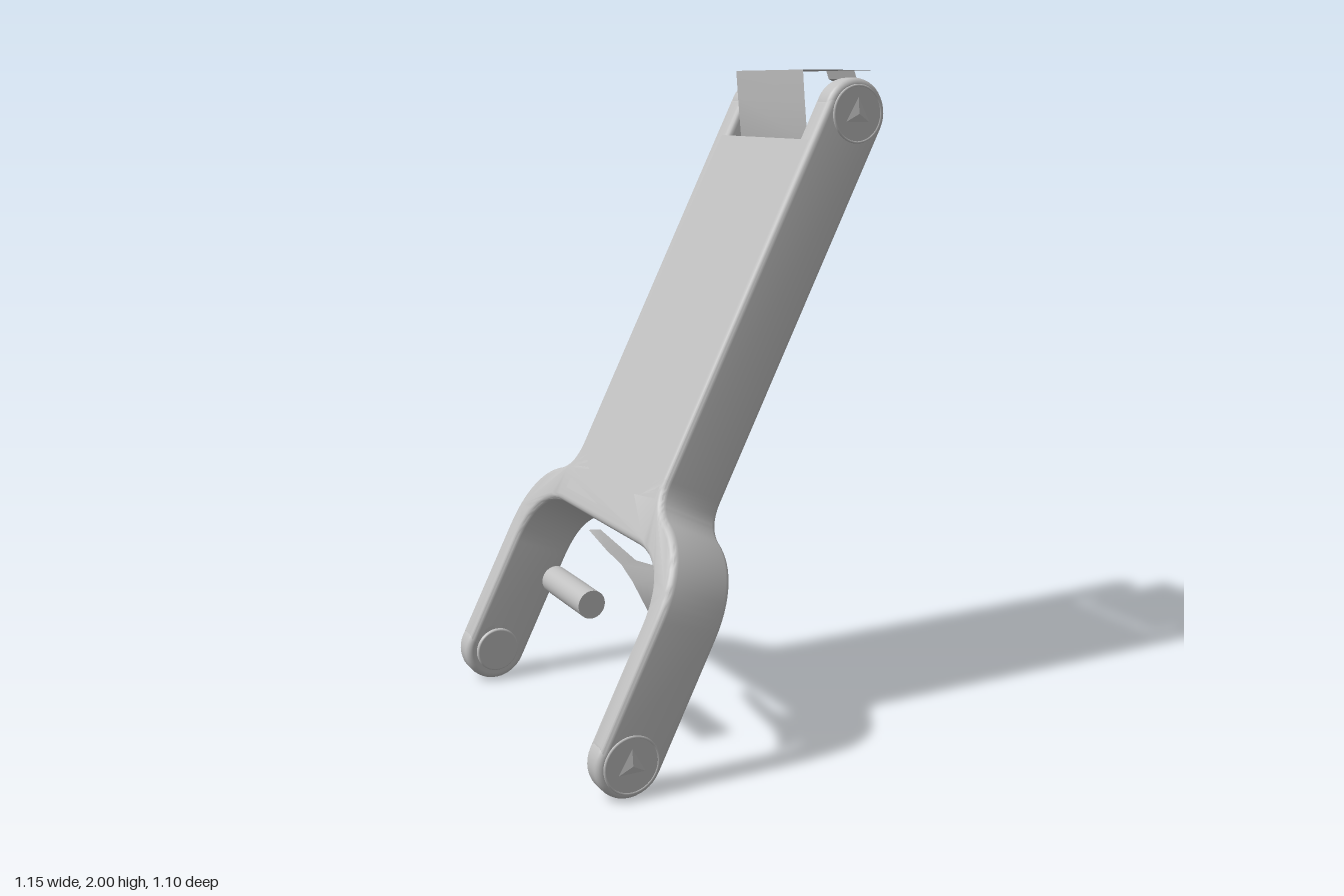
import * as THREE from 'three';
import { toCreasedNormals } from 'three/addons/utils/BufferGeometryUtils.js';

const LENGTH = 1.975; // pivot to pivot
const R = 0.105;      // half width of the arm

const metal = new THREE.MeshStandardMaterial({ color: 0xc0c0c0 });
metal.name = 'grey metal';
const sheetMetal = new THREE.MeshStandardMaterial({ color: 0xc0c0c0, side: THREE.DoubleSide });
sheetMetal.name = 'grey sheet';

function add(parent, name, geometry, material = metal) {
  const mesh = new THREE.Mesh(geometry, material);
  mesh.name = name;
  parent.add(mesh);
  return mesh;
}

// Ribbon through pairs of edge points [[x,y,z],[x,y,z]]
function ribbon(rows) {
  const g = new THREE.BufferGeometry();
  g.setAttribute('position', new THREE.Float32BufferAttribute(rows.flat(2), 3));
  const index = [];
  for (let i = 0; i < rows.length - 1; i++) {
    const a = i * 2;
    index.push(a, a + 1, a + 2, a + 1, a + 3, a + 2);
  }
  g.setIndex(index);
  return toCreasedNormals(g, 0.6);
}

// Strip of constant z range following an x,y profile
const strip = (profile, z0, z1) => ribbon(profile.map(([x, y]) => [[x, y, z0], [x, y, z1]]));

// Disc along z with rounded rims
function roundedDisc(radius, thickness, bevel) {
  const h = thickness / 2, pts = [new THREE.Vector2(0, -h)];
  for (const top of [0, 1]) {
    for (let i = 0; i <= 4; i++) {
      const a = (top ? i : i - 4) * Math.PI / 8;
      pts.push(new THREE.Vector2(radius - bevel + bevel * Math.cos(a),
        (top ? h - bevel : bevel - h) + bevel * Math.sin(a)));
    }
  }
  pts.push(new THREE.Vector2(0, h));
  return new THREE.LatheGeometry(pts, 40).rotateX(Math.PI / 2);
}

// Forked outline: half drawn, then mirrored, and extruded across the arm
function frameGeometry() {
  const p = new THREE.Path();
  p.moveTo(0, 0.555);
  p.lineTo(0.27, 0.555);
  p.bezierCurveTo(0.39, 0.55, 0.46, 0.48, 0.46, 0.36);
  p.lineTo(0.46, 0);
  p.lineTo(0.54, 0);
  p.lineTo(0.54, 0.4);
  p.bezierCurveTo(0.54, 0.54, 0.46, 0.62, 0.37, 0.65);
  p.bezierCurveTo(0.32, 0.667, 0.288, 0.70, 0.288, 0.76);
  p.lineTo(0.288, LENGTH);
  p.lineTo(0.208, LENGTH);
  p.lineTo(0.208, 0.77);
  p.quadraticCurveTo(0.205, 0.703, 0.14, 0.70);
  p.lineTo(0, 0.70);
  const half = p.getPoints(14).filter(v => v.x > 0.001);
  const mirrored = half.map(v => new THREE.Vector2(-v.x, v.y)).reverse();
  const bevel = 0.02;
  const g = new THREE.ExtrudeGeometry(new THREE.Shape([...half, ...mirrored]), {
    depth: 2 * (R - bevel), bevelEnabled: true, bevelThickness: bevel,
    bevelSize: bevel, bevelOffset: -bevel, bevelSegments: 4,
  });
  g.translate(0, 0, bevel - R).rotateY(Math.PI / 2);
  return toCreasedNormals(g, 0.6);
}

// Rounded lug with its bearing caps; side is +1 or -1 along z
function pivot(parent, name, s, inner, outer, side) {
  const g = new THREE.Group();
  g.name = name;
  g.position.set(0, s, 0);
  parent.add(g);
  const mid = side * (inner + outer) / 2;
  add(g, 'lug', roundedDisc(R, outer - inner, 0.02)).position.z = mid;
  add(g, 'outerCap', roundedDisc(0.086, 0.01, 0.003)).position.z = side * outer;
  add(g, 'capRim', new THREE.TorusGeometry(0.083, 0.004, 6, 40)).position.z = side * (outer + 0.003);
  add(g, 'innerBoss', roundedDisc(0.072, 0.022, 0.006)).position.z = side * inner;
  if (side > 0) {
    // Faceted screw recess on the front, ring on the inner face
    const facet = add(g, 'capFacet', toCreasedNormals(
      new THREE.ConeGeometry(0.055, 0.008, 3).rotateX(Math.PI / 2), 0.05));
    facet.position.z = outer + 0.008;
    facet.rotation.z = Math.PI + 0.45;
    add(g, 'innerRing', new THREE.TorusGeometry(0.05, 0.006, 6, 32)).position.z = inner - 0.011;
  } else {
    // Two small spanner studs
    for (const x of [-0.05, 0.05]) {
      add(g, 'spannerStud', new THREE.TorusGeometry(0.01, 0.003, 6, 16))
        .position.set(x, 0, -outer - 0.005);
    }
  }
}

export function createModel() {
  const model = new THREE.Group();
  model.name = 'forkedLinkArm';

  // Arm leaning towards +x, with local y running between the pivots
  const arm = new THREE.Group();
  arm.name = 'arm';
  arm.position.set(-0.48, 0.108, 0);
  arm.rotation.z = -Math.atan2(0.89, 1.765);
  model.add(arm);

  add(arm, 'forkFrame', frameGeometry());
  add(arm, 'backPlate', new THREE.BoxGeometry(0.024, 1.24, 0.53))
    .position.set(-R + 0.012, 1.22, 0);
  for (const side of [1, -1]) {
    pivot(arm, 'lowerPivot', 0, 0.46, 0.54, side);
    pivot(arm, 'upperPivot', LENGTH, 0.208, 0.288, side);
  }

  // Bent sheet cover between the upper lugs
  const cover = new THREE.Group();
  cover.name = 'topCover';
  model.add(cover);
  add(cover, 'coverSheet', strip([[0.545, 2], [0.28, 2], [0.287, 1.92], [0.3, 1.79],
    [0.308, 1.765], [0.325, 1.75], [0.35, 1.745], [0.4, 1.745]], 0.19, -0.197), sheetMetal);
  for (const [a, b] of [[0.19, 0.075], [-0.08, -0.197]]) {
    add(cover, 'coverEdge', strip([[0.563, 2], [0.545, 2]], a, b), sheetMetal);
  }
  add(cover, 'coverTab', strip([[0.57, 1.968], [0.555, 1.975], [0.545, 2]], 0.075, -0.08), sheetMetal);

  // Loose round pin, open at the back
  const pin = new THREE.Group();
  pin.name = 'pin';
  pin.position.set(-0.464, 0.485, 0);
  model.add(pin);
  add(pin, 'pinBody', new THREE.CylinderGeometry(0.042, 0.042, 0.26, 32, 1, true).rotateX(Math.PI / 2))
    .position.z = 0.13;
  add(pin, 'pinCap', new THREE.CircleGeometry(0.042, 32)).position.z = 0.26;

  // Curved liner inside the left fork corner
  add(model, 'forkLiner', ribbon([
    [[-0.35, 0.625, 0], [-0.31, 0.62, 0]],
    [[-0.387, 0.622, 0.2], [-0.29, 0.575, 0.2]],
    [[-0.387, 0.605, 0.3], [-0.11, 0.515, 0.31]],
    [[-0.387, 0.575, 0.37], [-0.135, 0.47, 0.38]],
    [[-0.38, 0.53, 0.42], [-0.17, 0.41, 0.425]],
    [[-0.355, 0.47, 0.438], [-0.205, 0.36, 0.442]],
    [[-0.32, 0.41, 0.448], [-0.24, 0.345, 0.45]],
  ]), sheetMetal);

  return model;
}
